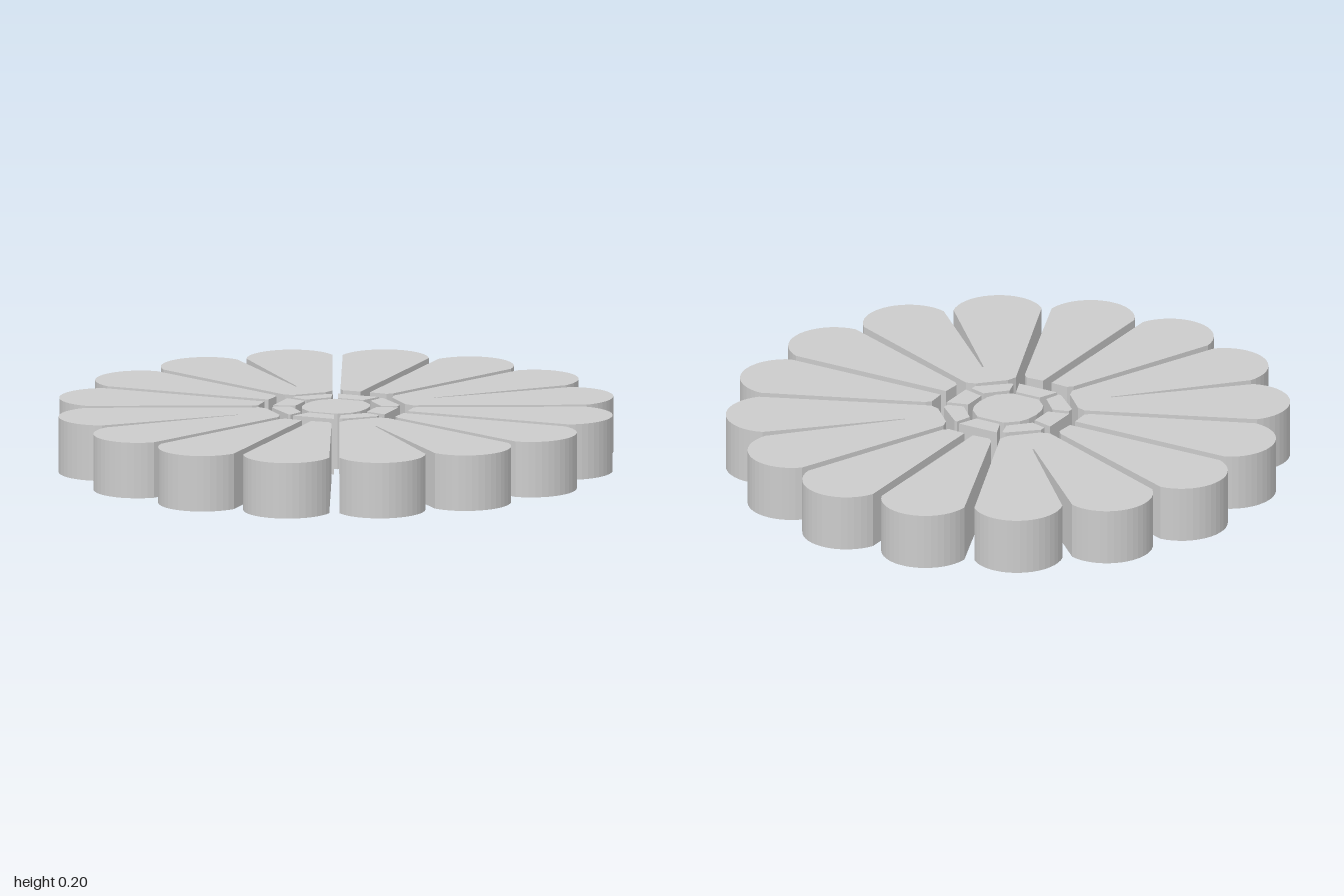
import * as THREE from 'three';

const HEIGHT = 0.2;
const OVAL = 0.975; // plan outlines are slightly oval, narrower across x
const material = new THREE.MeshStandardMaterial({ color: 0xcccccc });

// Upright slab from a plan outline of [x, z] points; sx and sz pick the quadrant
function slab(name, points, sx = 1, sz = 1) {
  const shape = new THREE.Shape(points.map(([x, z]) => new THREE.Vector2(x * sx * OVAL, -z * sz)));
  const geometry = new THREE.ExtrudeGeometry(shape, { depth: HEIGHT, bevelEnabled: false });
  geometry.rotateX(-Math.PI / 2);
  const mesh = new THREE.Mesh(geometry, material);
  mesh.name = name;
  return mesh;
}

// Rounded outer end of the petal with index k, counted from the x axis
function petalTip(k, segments = 18) {
  const axis = (k + 0.5) * Math.PI / 8;
  const centre = 0.853, radius = 0.163, sweep = 1.34;
  const points = [];
  for (let i = 0; i <= segments; i++) {
    const t = axis - sweep + (2 * sweep * i) / segments;
    points.push([
      centre * Math.cos(axis) + radius * Math.cos(t),
      centre * Math.sin(axis) + radius * Math.sin(t),
    ]);
  }
  return points;
}

// Exchange x and z to mirror an outline across the diagonal
const swap = (points) => points.map(([x, z]) => [z, x]);

export function createModel() {
  const group = new THREE.Group();
  group.name = 'rosette';

  // Outlines for one quadrant
  const singlePetal = [[0.272, 0.018], ...petalTip(0), [0.285, 0.103], [0.268, 0.085]];
  const doublePetal = [
    [0.215, 0.13], [0.25, 0.119], ...petalTip(1),
    [0.272, 0.268], [0.268, 0.272], // closed end of the slit
    ...petalTip(2), [0.119, 0.25], [0.13, 0.215],
  ];
  const cornerTile = [
    [0.095, 0.195], [0.107, 0.193], [0.205, 0.107],
    [0.205, 0.085], [0.145, 0.068], [0.077, 0.138],
  ];

  for (const sx of [1, -1]) {
    for (const sz of [1, -1]) {
      group.add(slab('sidePetal', singlePetal, sx, sz));
      group.add(slab('endPetal', swap(singlePetal), sx, sz));
      group.add(slab('doublePetal', doublePetal, sx, sz));
      group.add(slab('cornerTile', cornerTile, sx, sz));
    }
  }

  // Four straight tiles around the centre
  const sideTile = [[0.14, -0.045], [0.218, -0.066], [0.218, 0.066], [0.14, 0.045]];
  const endTile = [[-0.05, 0.138], [0.05, 0.138], [0.08, 0.208], [-0.08, 0.208]];
  for (const s of [1, -1]) {
    group.add(slab('sideTile', sideTile, s, 1));
    group.add(slab('endTile', endTile, 1, s));
  }

  // Faceted centre disc
  const arc = [[0.12, 0], [0.115, 0.045], [0.1, 0.08], [0.056, 0.12]];
  const upper = [...arc, ...arc.map(([x, z]) => [-x, z]).reverse()];
  const lower = upper.slice(1, -1).map(([x, z]) => [x, -z]).reverse();
  group.add(slab('centreDisc', [...upper, ...lower]));

  return group;
}
